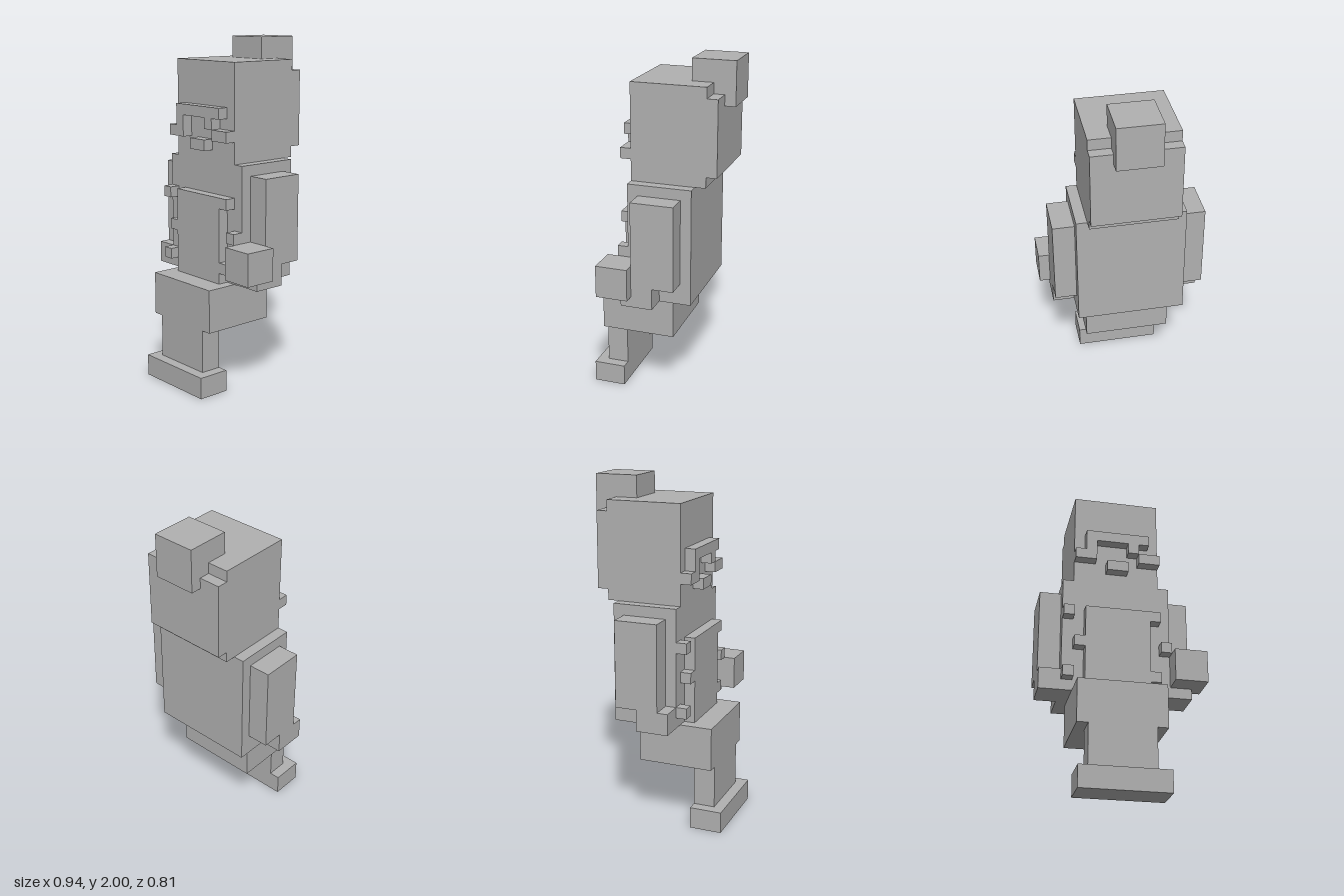
import * as THREE from 'three';

// Everything sits on a 15 x 32 x 13 block grid, one block = 1/16 unit.
const U = 1 / 16;

export function createModel() {
  const model = new THREE.Group();
  model.name = 'blockFigure';
  const grey = new THREE.MeshStandardMaterial({ color: 0xb0b0b0 });
  grey.name = 'stone grey';

  const group = (name) => {
    const g = new THREE.Group();
    g.name = name;
    model.add(g);
    return g;
  };

  // Box spanning grid lines x0..x1, y0..y1, z0..z1
  const block = (parent, name, x0, x1, y0, y1, z0, z1) => {
    const geo = new THREE.BoxGeometry((x1 - x0) * U, (y1 - y0) * U, (z1 - z0) * U);
    const mesh = new THREE.Mesh(geo, grey);
    mesh.name = name;
    mesh.position.set(((x0 + x1) / 2 - 7.5) * U, ((y0 + y1) / 2) * U, ((z0 + z1) / 2 - 6.5) * U);
    parent.add(mesh);
  };

  // Legs
  const legs = group('legs');
  block(legs, 'feet', 3, 11, 0, 2, 10, 13);
  block(legs, 'shins', 4, 10, 2, 6, 10, 12);
  block(legs, 'thighs', 3, 11, 6, 10, 5, 12);

  // Torso with raised front panel and buttons
  const body = group('body');
  block(body, 'torso', 2, 12, 10, 21, 3, 9);
  block(body, 'frontPanel', 4, 10, 10, 18, 9, 10);
  for (const [x, y] of [[2, 17], [10, 17], [3, 14], [11, 14], [2, 11], [10, 11]]) {
    block(body, 'button', x, x + 1, y, y + 1, 9, 10);
  }

  // Arms
  const arms = group('arms');
  for (const [side, x] of [['right', 0], ['left', 12]]) {
    block(arms, side + 'UpperArm', x, x + 2, 12, 20, 4, 8);
    block(arms, side + 'Forearm', x, x + 2, 10, 12, 6, 9);
  }
  block(arms, 'heldBlock', 12, 15, 11, 14, 8, 11);

  // Head and topknot
  const head = group('head');
  block(head, 'skull', 3, 11, 21, 30, 2, 9);
  block(head, 'headBack', 3, 11, 22, 29, 1, 2);
  block(head, 'topknot', 5, 9, 28, 32, 0, 4);

  // Moustache and mouth
  const face = group('face');
  block(face, 'moustacheBar', 4, 10, 25, 26, 9, 10);
  block(face, 'moustacheRightDrop', 4, 5, 23, 25, 9, 10);
  block(face, 'moustacheRightTip', 3, 4, 23, 24, 9, 10);
  block(face, 'moustacheLeftDrop', 8, 9, 24, 25, 9, 10);
  block(face, 'moustacheLeftTip', 9, 11, 23, 24, 9, 10);
  block(face, 'mouth', 6, 8, 22, 23, 9, 10);

  return model;
}
